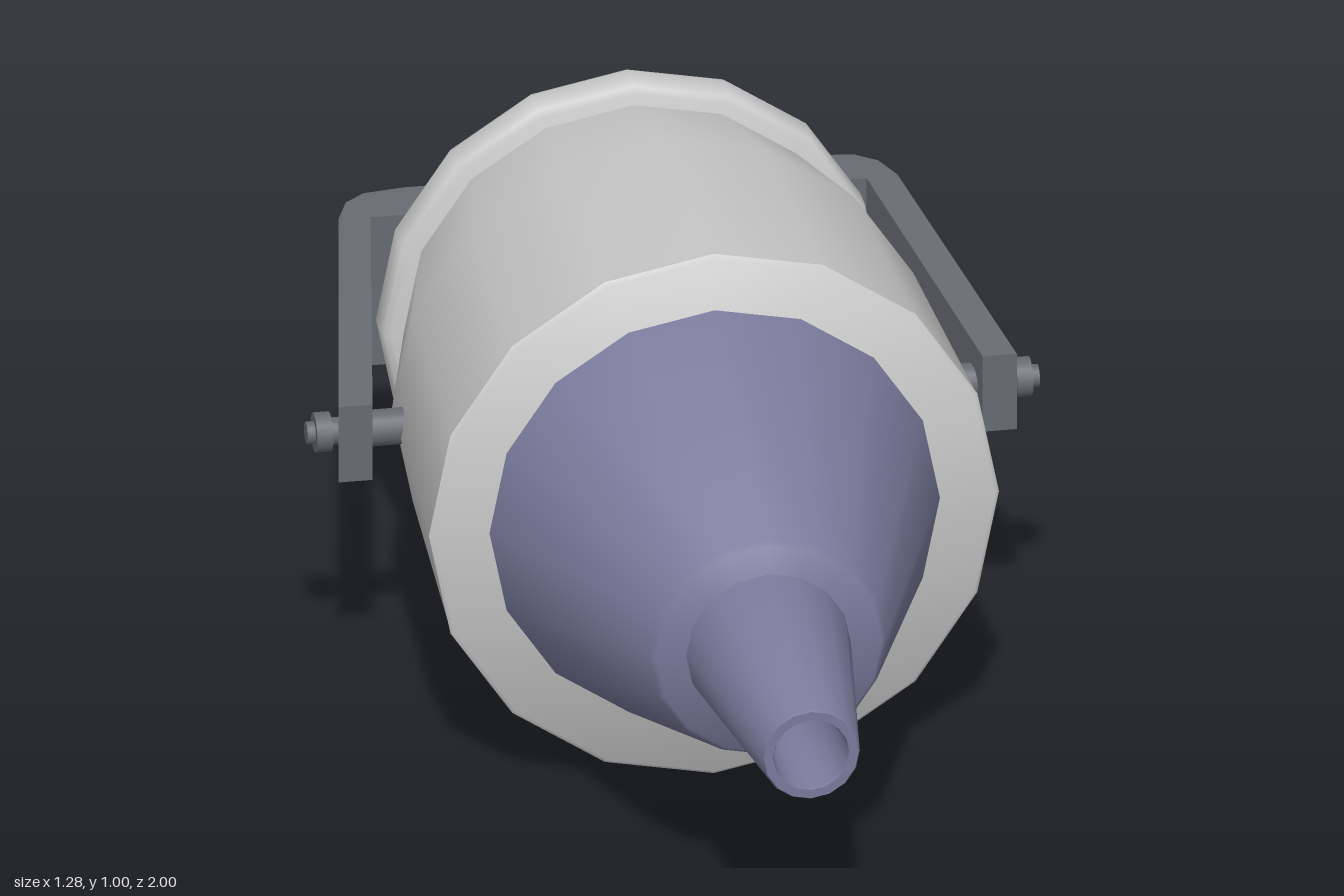
import * as THREE from 'three';
import { toCreasedNormals } from 'three/addons/utils/BufferGeometryUtils.js';

const AXIS_Y = 0.503;
const YOKE_Y = 0.513;

const shellMat = new THREE.MeshStandardMaterial({ color: 0xcccccc });
const nozzleMat = new THREE.MeshStandardMaterial({ color: 0x7a7a9c });
const yokeMat = new THREE.MeshStandardMaterial({ color: 0x686a72 });

// Sixteen-sided turned part along z; profile is [radius, z] from back to front
function turned(name, profile, material) {
  const points = profile.map(([r, z]) => new THREE.Vector2(r, z));
  const geometry = new THREE.LatheGeometry(points, 16).rotateX(Math.PI / 2);
  const mesh = new THREE.Mesh(toCreasedNormals(geometry, 0.85), material);
  mesh.name = name;
  mesh.position.y = AXIS_Y;
  return mesh;
}

// Cylinder lying along x between two x positions
function pin(name, x0, x1, radius, side, sides = 16) {
  const geometry = new THREE.CylinderGeometry(radius, radius, x1 - x0, sides).rotateZ(Math.PI / 2);
  const mesh = new THREE.Mesh(geometry, yokeMat);
  mesh.name = name;
  mesh.position.set(side * (x0 + x1) / 2, YOKE_Y, -0.37);
  return mesh;
}

// U-shaped bracket drawn in plan, its arms tapering in height toward the pivots
function makeYoke() {
  const outer = [[0.595, -0.315], [0.49, -0.9], [0.467, -0.96], [0.43, -0.99], [0.36, -1]];
  const inner = [[0.435, -0.895], [0.535, -0.315]];
  const mirror = (pts) => pts.map(([x, z]) => [-x, z]).reverse();
  const outline = [...outer, ...mirror(outer), ...mirror(inner), ...inner];
  const shape = new THREE.Shape(outline.map(([x, z]) => new THREE.Vector2(x, z)));
  const geometry = new THREE.ExtrudeGeometry(shape, { depth: 2, bevelEnabled: false });
  geometry.translate(0, 0, -1).rotateX(Math.PI / 2);
  const p = geometry.attributes.position;
  for (let i = 0; i < p.count; i++) {
    const t = THREE.MathUtils.clamp((p.getZ(i) + 0.895) / 0.58, 0, 1);
    p.setY(i, p.getY(i) * THREE.MathUtils.lerp(0.1425, 0.0725, t));
  }
  const mesh = new THREE.Mesh(toCreasedNormals(geometry, 0.7), yokeMat);
  mesh.name = 'yoke';
  mesh.position.y = YOKE_Y;
  return mesh;
}

export function createModel() {
  const model = new THREE.Group();
  model.name = 'lamp';

  // Housing with softened front edge
  model.add(turned('housing', [
    [0, -0.76], [0.4, -0.76], [0.475, -0.46], [0.498, 0.03],
    [0.5, 0.042], [0.492, 0.05], [0, 0.05],
  ], shellMat));

  // Rounded rim and rear cap
  model.add(turned('rearCap', [
    [0, -0.825], [0.425, -0.825], [0.437, -0.818], [0.442, -0.805],
    [0.442, -0.765], [0.437, -0.752], [0.425, -0.745], [0, -0.745],
  ].map(([r, z]) => [r, z]), shellMat));

  // Conical snoot
  model.add(turned('snoot', [
    [0, 0.04], [0.395, 0.05], [0.207, 0.57], [0.198, 0.58], [0, 0.58],
  ], nozzleMat));

  // Hollow front tube
  model.add(turned('tube', [
    [0.145, 0.575], [0.086, 0.995], [0.083, 1], [0.067, 1], [0.065, 0.995],
    [0.065, 0.75], [0, 0.75],
  ], nozzleMat));

  model.add(makeYoke());

  // Pivot bolts on both sides
  for (const side of [1, -1]) {
    const bolt = new THREE.Group();
    bolt.name = side > 0 ? 'leftPivot' : 'rightPivot';
    bolt.add(
      pin('spacer', 0.44, 0.56, 0.032, side),
      pin('neck', 0.56, 0.612, 0.024, side),
      pin('nut', 0.6, 0.628, 0.035, side),
      pin('boltEnd', 0.62, 0.642, 0.02, side),
    );
    model.add(bolt);
  }

  return model;
}
